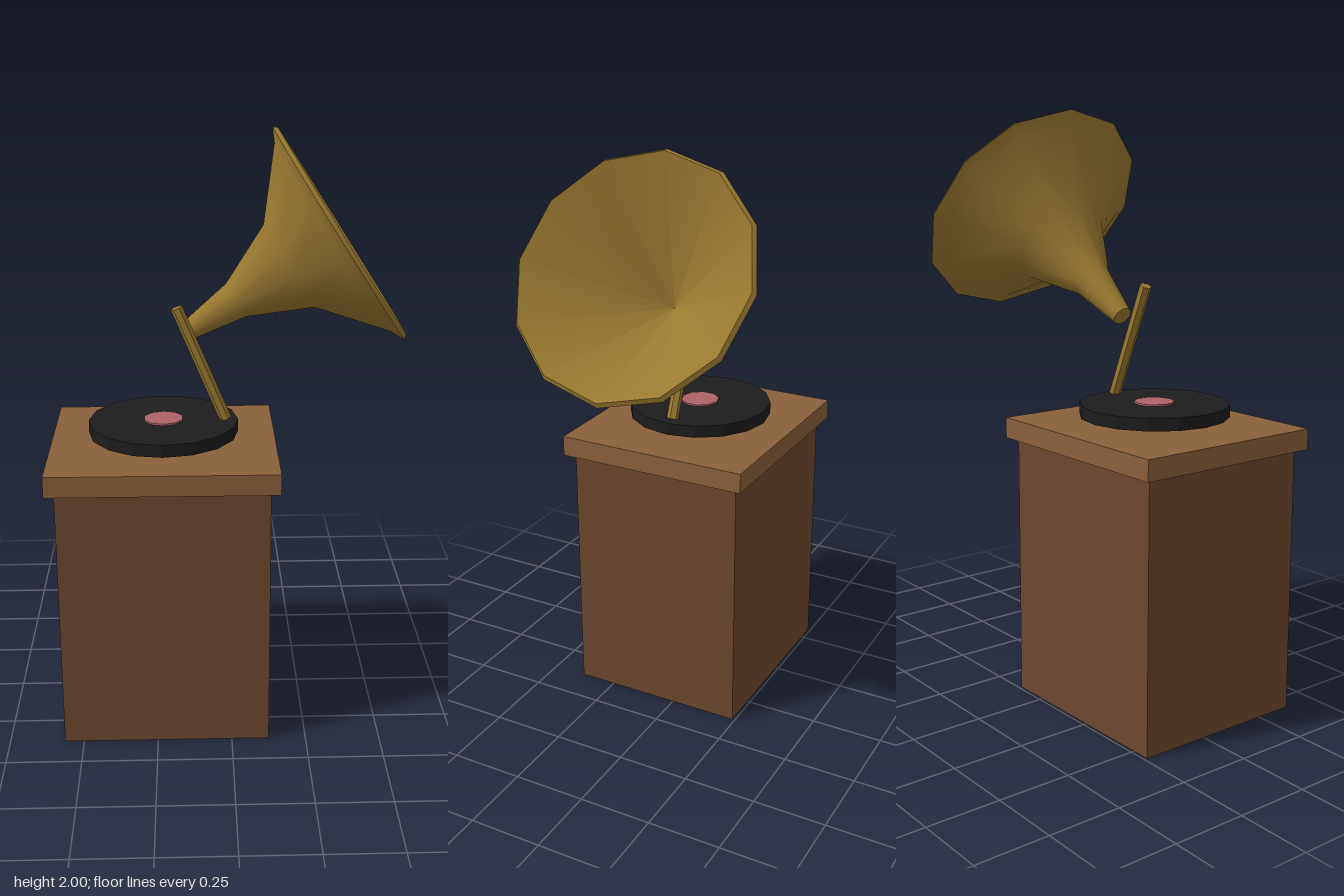
import * as THREE from 'three';

const mat = (color) => new THREE.MeshStandardMaterial({ color });
const flat = (color) => new THREE.MeshStandardMaterial({ color, flatShading: true });

export function createModel() {
  const group = new THREE.Group();
  const brass = mat(0x997a30);
  brass.side = THREE.DoubleSide;

  const add = (name, geometry, material, parent = group) => {
    const mesh = new THREE.Mesh(geometry, material);
    mesh.name = name;
    parent.add(mesh);
    return mesh;
  };

  // Wooden cabinet with an overhanging lid
  add('cabinet', new THREE.BoxGeometry(0.69, 0.905, 0.62), mat(0x6b4830))
    .position.set(-0.22, 0.4525, 0.07);
  add('cabinetLid', new THREE.BoxGeometry(0.75, 0.07, 0.68), mat(0x8a603c))
    .position.set(-0.22, 0.94, 0.07);

  // Record floating just above the lid, with its centre label
  add('record', new THREE.CylinderGeometry(0.25, 0.25, 0.042, 16), flat(0x1d1d1d))
    .position.set(-0.22, 1.023, 0.07);
  add('recordLabel', new THREE.CylinderGeometry(0.067, 0.067, 0.02, 10), flat(0xad636a))
    .position.set(-0.22, 1.04, 0.07);

  // Hexagonal arm leaning back from the record's edge
  const foot = new THREE.Vector3(-0.012, 1.045, 0.07);
  const tip = new THREE.Vector3(-0.172, 1.428, 0.07);
  const armShape = new THREE.CylinderGeometry(0.02, 0.02, foot.distanceTo(tip), 6);
  armShape.rotateY(Math.PI / 6);
  const arm = add('arm', armShape, flat(0x997a30));
  arm.position.lerpVectors(foot, tip, 0.5);
  arm.rotation.z = Math.atan2(foot.x - tip.x, tip.y - foot.y);

  // Horn: profiles are [radius, distance along the axis from the mouth]
  const horn = new THREE.Group();
  horn.name = 'horn';
  horn.position.set(0.367, 1.655, 0);
  horn.rotation.z = -0.998;
  group.add(horn);
  const profiles = {
    hornThroatCap: [[0, -0.6], [0.033, -0.6]],
    hornBell: [[0.033, -0.6], [0.066, -0.405], [0.163, -0.197], [0.365, -0.028], [0.411, -0.006]],
    hornLip: [[0.411, -0.006], [0.4, 0.008]],
    hornInside: [[0.4, 0.008], [0, -0.32]],
  };
  for (const [name, points] of Object.entries(profiles)) {
    const profile = points.map(([r, y]) => new THREE.Vector2(r, y));
    add(name, new THREE.LatheGeometry(profile, 12), brass, horn);
  }

  return group;
}
